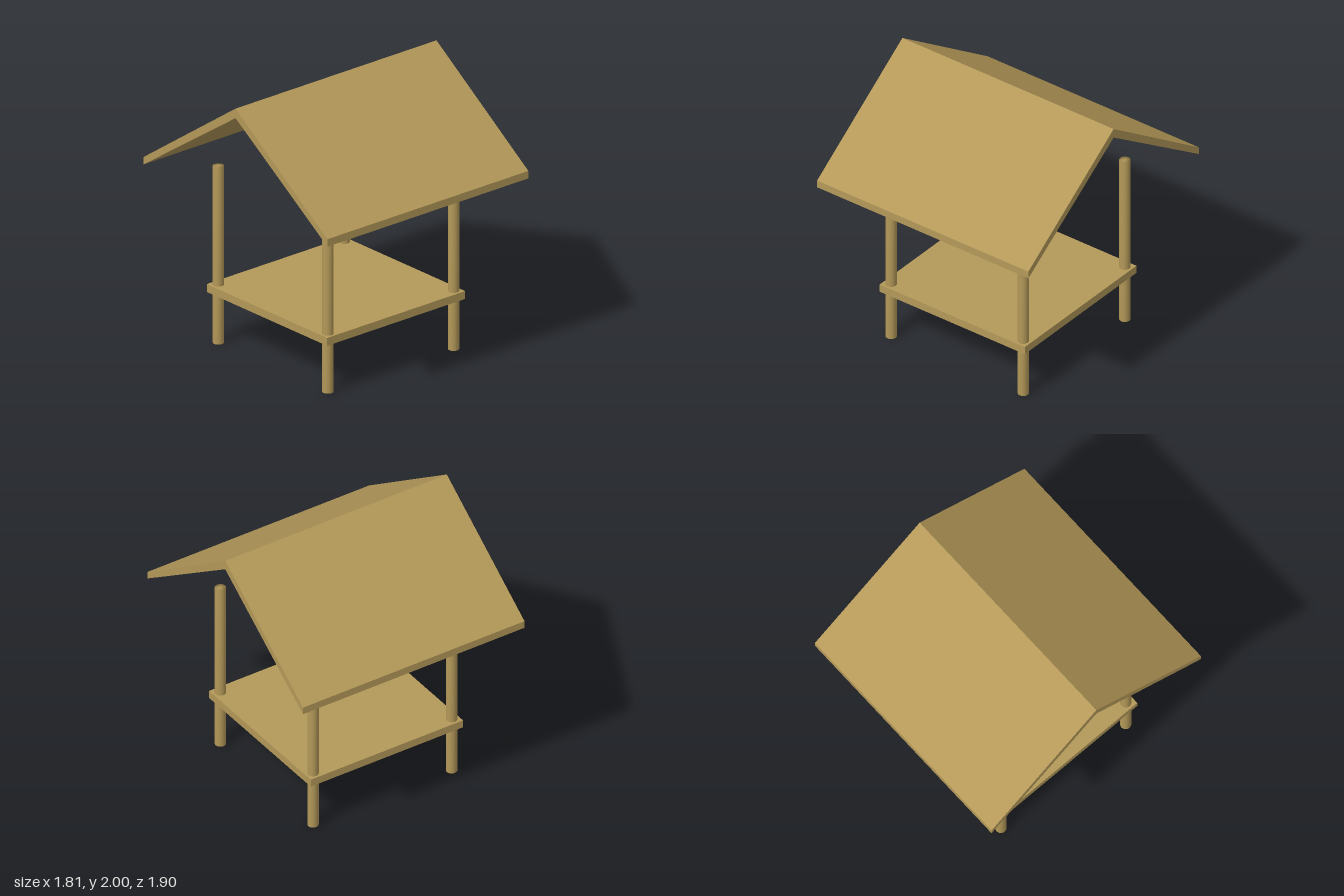
import * as THREE from 'three';
import { mergeVertices } from 'three/addons/utils/BufferGeometryUtils.js';

const POST_HEIGHT = 1.305;
const POST_RADIUS = 0.039;
const POST_OFFSET = 0.566;
const ROOF_LENGTH = 1.81;

// Post with normals blended across its end rims
function postGeometry() {
  const geometry = new THREE.CylinderGeometry(POST_RADIUS, POST_RADIUS, POST_HEIGHT, 24);
  geometry.deleteAttribute('uv');
  geometry.deleteAttribute('normal');
  const merged = mergeVertices(geometry);
  merged.computeVertexNormals();
  return merged.translate(0, POST_HEIGHT / 2, 0);
}

// Gable profile with vertical eave ends, extruded along x
function roofGeometry() {
  const profile = new THREE.Shape([
    [-0.95, 1.285], [0, 1.93], [0.95, 1.285],
    [0.95, 1.34], [0, 2], [-0.95, 1.34],
  ].map(([x, y]) => new THREE.Vector2(x, y)));
  return new THREE.ExtrudeGeometry(profile, { depth: ROOF_LENGTH, bevelEnabled: false })
    .translate(0, 0, -ROOF_LENGTH / 2)
    .rotateY(Math.PI / 2);
}

export function createModel() {
  const model = new THREE.Group();
  model.name = 'shelter';
  const wood = new THREE.MeshStandardMaterial({ color: 0xb39858 });
  wood.name = 'wood';

  const add = (name, geometry) => {
    const mesh = new THREE.Mesh(geometry, wood);
    mesh.name = name;
    model.add(mesh);
    return mesh;
  };

  // Four corner posts
  const post = postGeometry();
  for (const [xName, x] of [['Left', 1], ['Right', -1]]) {
    for (const [zName, z] of [['front', 1], ['back', -1]]) {
      add(`${zName}${xName}Post`, post).position.set(x * POST_OFFSET, 0, z * POST_OFFSET);
    }
  }

  // Raised floor
  add('platform', new THREE.BoxGeometry(1.244, 0.058, 1.244)).position.y = 0.399;

  // Pitched roof
  add('roof', roofGeometry());

  return model;
}
